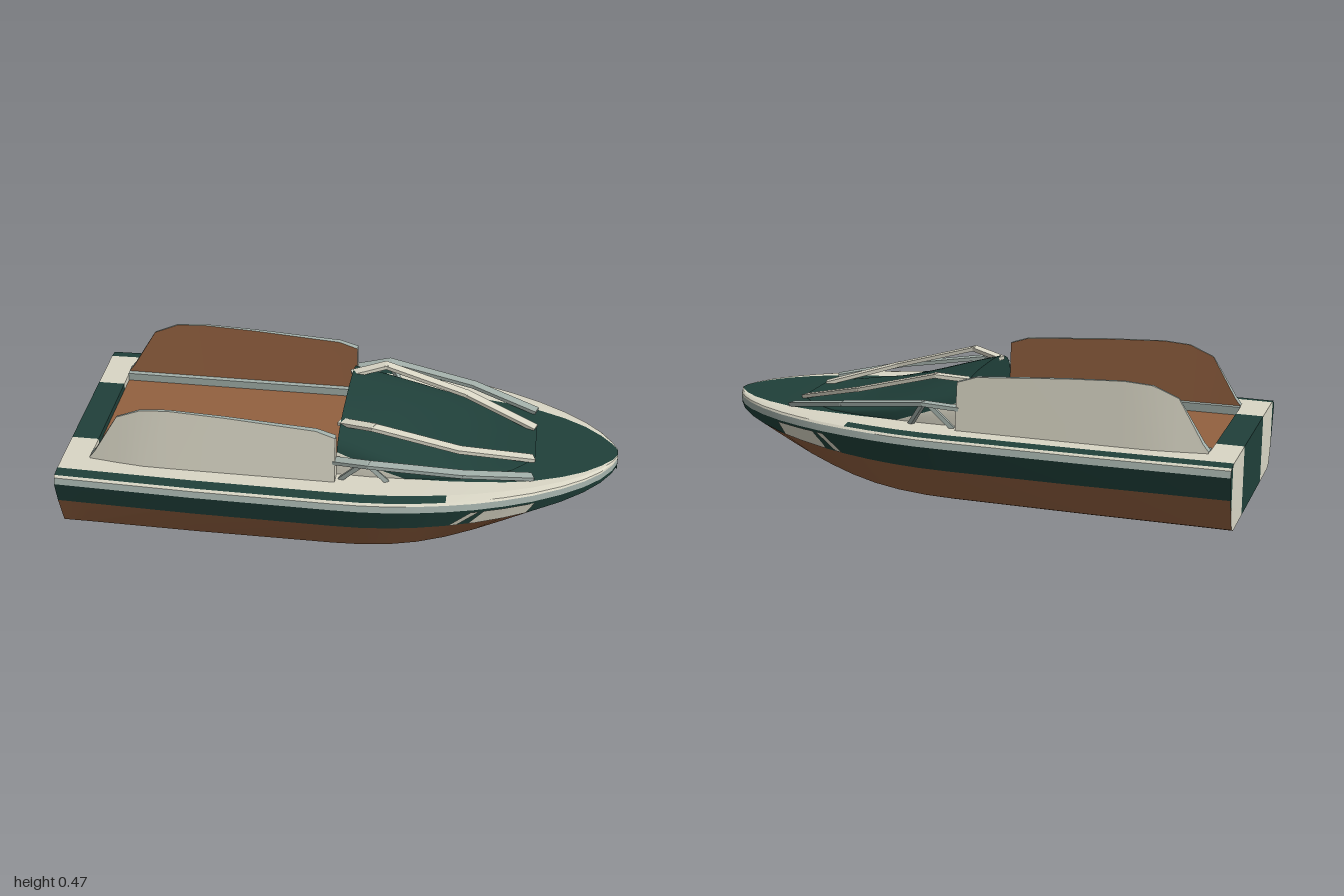
import * as THREE from 'three';

const paint = (name, color) => {
  const m = new THREE.MeshStandardMaterial({ color });
  m.name = name;
  return m;
};

// Hull stations: x, half beam, keel y, bottom half width, paint line y, deck y, foredeck green half width
const STATIONS = [
  [-1, .44, 0, .35, .13, .25, .27],
  [-.9, .443, 0, .35, .13, .25, .27],
  [-.5, .455, 0, .355, .13, .25, .27],
  [0, .46, 0, .355, .13, .25, .27],
  [.1, .459, .001, .352, .131, .25, .28],
  [.2, .452, .006, .345, .133, .25, .285],
  [.3, .438, .015, .33, .136, .25, .285],
  [.4, .417, .028, .305, .14, .249, .28],
  [.5, .39, .044, .27, .145, .248, .27],
  [.6, .353, .062, .23, .151, .246, .255],
  [.7, .308, .083, .185, .158, .244, .23],
  [.8, .25, .11, .135, .167, .242, .19],
  [.88, .19, .134, .095, .175, .24, .145],
  [.94, .13, .155, .06, .182, .238, .095],
  [.98, .07, .17, .03, .187, .236, .05],
  [1, .02, .18, .008, .19, .235, .014],
];

// Interpolated station at any x
function station(x) {
  let i = 0;
  while (i < STATIONS.length - 2 && x > STATIONS[i + 1][0]) i++;
  const a = STATIONS[i], b = STATIONS[i + 1], t = (x - a[0]) / (b[0] - a[0]);
  return a.map((v, k) => v + (b[k] - v) * t);
}

// Half cross-section as [y, z], from keel out, up and inboard over the deck
function section([, beam, keel, bottom, line, deck, green]) {
  return [
    [keel, 0], [keel, bottom], [keel + .012, bottom + beam * .065],
    [line, beam * .955], [deck - .035, beam], [deck - .012, beam * .985],
    [deck - .005, beam * .965], [deck, beam * .875], [deck, green], [deck, 0],
  ];
}

// Surface through rows of [x, y, z]; side -1 mirrors it across z
function loft(rows, side = 1) {
  const n = rows[0].length, pos = [], idx = [];
  rows.forEach(r => r.forEach(([x, y, z]) => pos.push(x, y, z * side)));
  for (let i = 0; i < rows.length - 1; i++) {
    for (let j = 0; j < n - 1; j++) {
      const a = i * n + j, b = a + n, c = b + 1, d = a + 1;
      if (side > 0) idx.push(a, b, c, a, c, d);
      else idx.push(a, c, b, a, d, c);
    }
  }
  const g = new THREE.BufferGeometry();
  g.setAttribute('position', new THREE.Float32BufferAttribute(pos, 3));
  g.setIndex(idx);
  g.computeVertexNormals();
  return g;
}

// Cabin hump: x, height, half width
const HUMP = [[0, .161, .29], [.06, .143, .291], [.12, .124, .292], [.18, .104, .29], [.25, .08, .287],
  [.34, .051, .277], [.43, .025, .262], [.52, .009, .24], [.62, .003, .18], [.7, .001, .1]];
const HUMP_BASE = .248, ROUND = .5;

// Arch of the hump between two angles
const arch = ([x, h, w], u0, u1) => Array.from({ length: 25 }, (_, i) => {
  const u = u0 + (u1 - u0) * i / 24, c = Math.cos(u);
  return [x, HUMP_BASE + h * Math.pow(Math.max(Math.sin(u), 0), ROUND), w * Math.sign(c) * Math.pow(Math.abs(c), .7)];
});

// Angle where the cream flank of the hump meets the green top
const flank = ([x, h]) => Math.asin(Math.pow(Math.max(0, .09 * (1 - x / .25)) / h, 1 / ROUND));

export function createModel() {
  const boat = new THREE.Group();
  boat.name = 'speedboat';
  const green = paint('dark green', 0x20403a), brown = paint('brown', 0x936140);
  const cream = paint('cream', 0xdad7c6), grey = paint('pale grey', 0xa3b0aa);

  const add = (name, geometry, material) => {
    const m = new THREE.Mesh(geometry, material);
    m.name = name;
    boat.add(m);
    return m;
  };
  const box = (name, mat, w, h, d, x, y, z) =>
    add(name, new THREE.BoxGeometry(w, h, d), mat).position.set(x, y, z);
  const bar = (name, mat, a, b, w, h) => {
    const A = new THREE.Vector3(...a), B = new THREE.Vector3(...b);
    const m = add(name, new THREE.BoxGeometry(w, h, A.distanceTo(B) + .01), mat);
    m.position.copy(A).lerp(B, .5);
    m.lookAt(B);
  };
  // Flat plate facing aft, from [z, y] corners
  const aftPlate = (name, mat, x, pts) => {
    const g = new THREE.ShapeGeometry(new THREE.Shape(pts.map(p => new THREE.Vector2(...p))));
    add(name, g.rotateY(-Math.PI / 2).translate(x, 0, 0), mat);
  };

  for (const s of [1, -1]) {
    // Hull and deck strips: [name, material, section point, from x, to x]
    const strips = [
      ['hullBottom', brown, 0, -1, 1], ['chine', brown, 1, -1, 1], ['lowerSide', brown, 2, -1, 1],
      ['upperSide', green, 3, -1, 1], ['rubRail', grey, 4, -1, 1], ['deckRim', cream, 5, -1, 1],
      ['deckStripe', green, 6, -1, .4], ['bowDeckEdge', cream, 6, .4, 1],
      ['sideDeck', cream, 7, -1, 1], ['foredeck', green, 8, 0, 1],
    ];
    for (const [name, mat, k, x0, x1] of strips) {
      const rows = STATIONS.filter(r => r[0] >= x0 && r[0] <= x1)
        .map(r => section(r).slice(k, k + 2).map(([y, z]) => [r[0], y, z]));
      add(name, loft(rows, s), mat);
    }

    // Aft deck inner cream edge
    box('aftDeckEdge', cream, .1, .03, .08, -.95, .235, s * .23);

    // Slanted paint patches near the bow: bottom x range, top x range
    for (const [b0, b1, t0, t1] of [[.41, .44, .49, .52], [.48, .68, .535, .71]]) {
      const rows = [];
      for (let i = 0; i <= 8; i++) {
        rows.push([.04, .9].map((v, j) => {
          const x = j ? t0 + (t1 - t0) * i / 8 : b0 + (b1 - b0) * i / 8;
          const p = section(station(x));
          return [x, p[3][0] + (p[4][0] - p[3][0]) * v, p[3][1] + (p[4][1] - p[3][1]) * v + .005];
        }));
      }
      add('sidePatch', loft(rows, s), cream);
    }

    // Transom outer panels
    aftPlate('transomPanel', cream, -1, [[.19, 0], [.35, 0], [.378, .012], [.4, .06], [.4, .25], [.19, .25]]
      .map(([z, y]) => [z * s, y]));
    aftPlate('transomEdge', green, -1, [[.4, .06], [.42, .13], [.44, .215], [.433, .238], [.4, .25]]
      .map(([z, y]) => [z * s, y]));

    // Leaning cockpit side wall: x, top y, outer base z
    const top = [[-.9, .255, .312], [-.88, .28, .315], [-.79, .43, .328], [-.7, .468, .338], [-.6, .475, .34],
      [-.4, .466, .341], [-.07, .443, .342], [0, .42, .342]];
    const wall = top.map(([x, y, z]) => [
      [x, .245, z], [x, y, z - (y - .25) * .15], [x, y, .28 + (y - .25) * .07], [x, .22, .28]]);
    [['wallOuter', cream], ['wallTop', grey], ['wallInner', brown]].forEach(([name, mat], k) =>
      add(name, loft(wall.map(r => r.slice(k, k + 2)), s), mat));
    const e = wall[wall.length - 1];
    add('wallFront', loft([[e[0], e[1]], [e[3], e[2]]], s), cream);

    // Cockpit sill
    box('sill', grey, .9, .035, .02, -.45, .238, s * .268);

    // Foredeck bars and their struts
    const inner = [[0, .39, .165], [.12, .408, .21], [.43, .322, .185], [.69, .25, .1]];
    const outer = [[0, .325, .315], [.12, .34, .345], [.45, .295, .295], [.69, .25, .215]];
    for (const [name, mat, path] of [['innerBar', cream, inner], ['outerBar', grey, outer]]) {
      for (let i = 0; i < 3; i++) {
        const [a, b] = [path[i], path[i + 1]].map(([x, y, z]) => [x, y, z * s]);
        bar(name, mat, a, b, .036, .014);
      }
    }
    bar('strut', grey, [.12, .335, s * .34], [.18, .25, s * .308], .016, .016);
    bar('strut', grey, [.1, .335, s * .335], [.02, .25, s * .315], .016, .016);

    // Cream flank of the cabin hump
    add('cabinFlank', loft(HUMP.filter(r => r[0] <= .25).map(r => arch(r, 0, flank(r))), s), cream);
  }

  // Transom centre, aft deck and bow stem
  aftPlate('transomCentre', green, -1, [[-.19, 0], [.19, 0], [.19, .25], [-.19, .25]]);
  box('aftDeck', green, .1, .03, .38, -.95, .235, 0);
  box('bowStem', green, .018, .056, .042, .991, .207, 0);

  // Cockpit floor
  box('cockpitFloor', brown, .9, .02, .53, -.45, .215, 0);

  // Cabin hump top and aft bulkhead
  add('cabinTop', loft(HUMP.map(r => arch(r, flank(r), Math.PI - flank(r)))), green);
  aftPlate('bulkhead', green, 0,
    [[-.29, .215], ...arch(HUMP[0], 0, Math.PI).map(p => [p[2], p[1]]).reverse(), [.29, .215]]);

  return boat;
}
